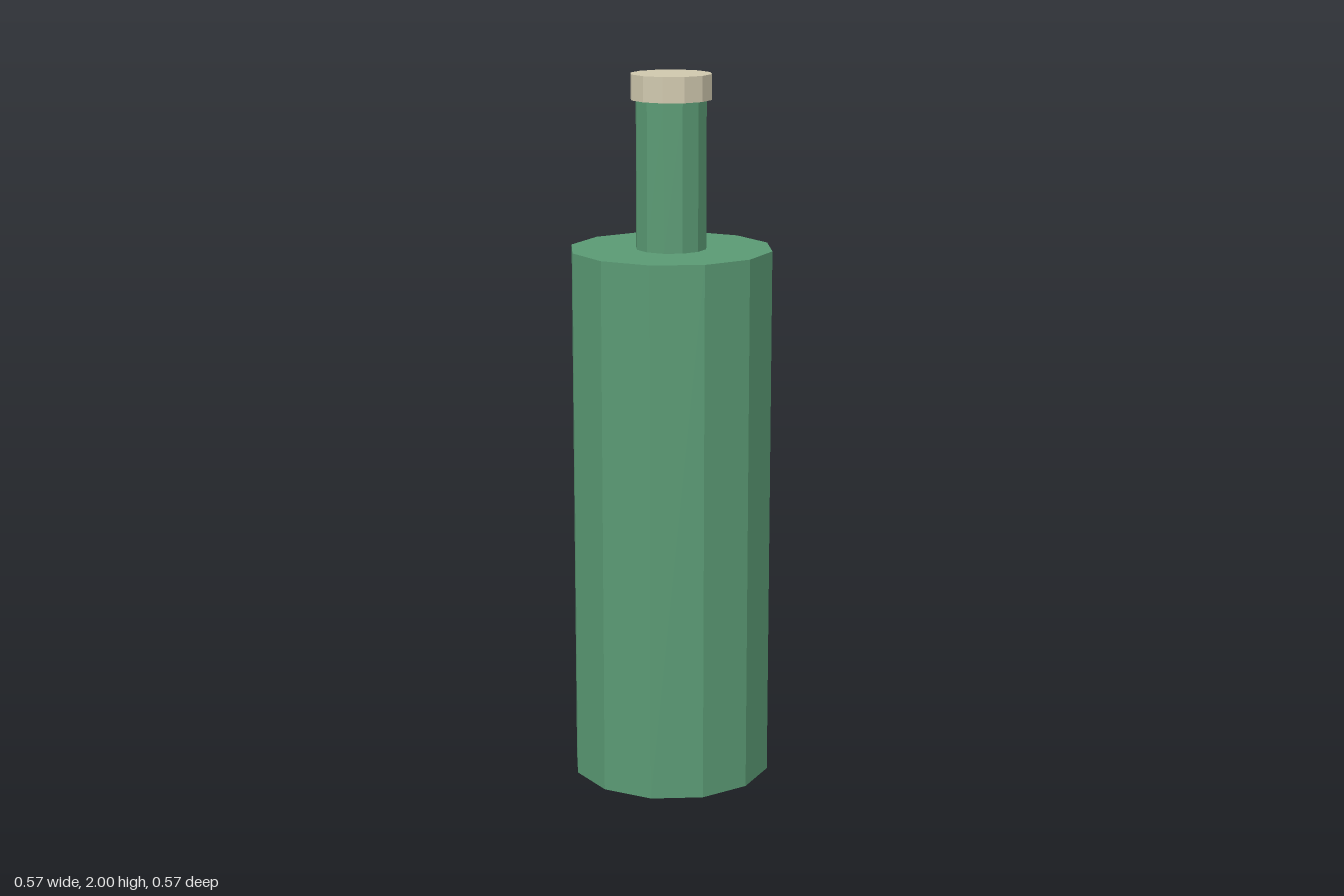
import * as THREE from 'three';

export function createModel() {
  const model = new THREE.Group();
  model.name = 'bottle';

  const glass = new THREE.MeshStandardMaterial({ color: 0x5a9a74, flatShading: true });
  glass.name = 'green glass';
  const cork = new THREE.MeshStandardMaterial({ color: 0xd0c8ae, flatShading: true });
  cork.name = 'pale cap';

  // Twelve-sided upright cylinder between two heights
  function addCylinder(name, radius, bottom, top, material) {
    const geometry = new THREE.CylinderGeometry(radius, radius, top - bottom, 12);
    const mesh = new THREE.Mesh(geometry, material);
    mesh.name = name;
    mesh.position.y = (bottom + top) / 2;
    model.add(mesh);
  }

  addCylinder('body', 0.284, 0, 1.52, glass);
  addCylinder('neck', 0.099, 1.52, 1.93, glass);
  addCylinder('cap', 0.1135, 1.93, 2, cork);

  return model;
}
